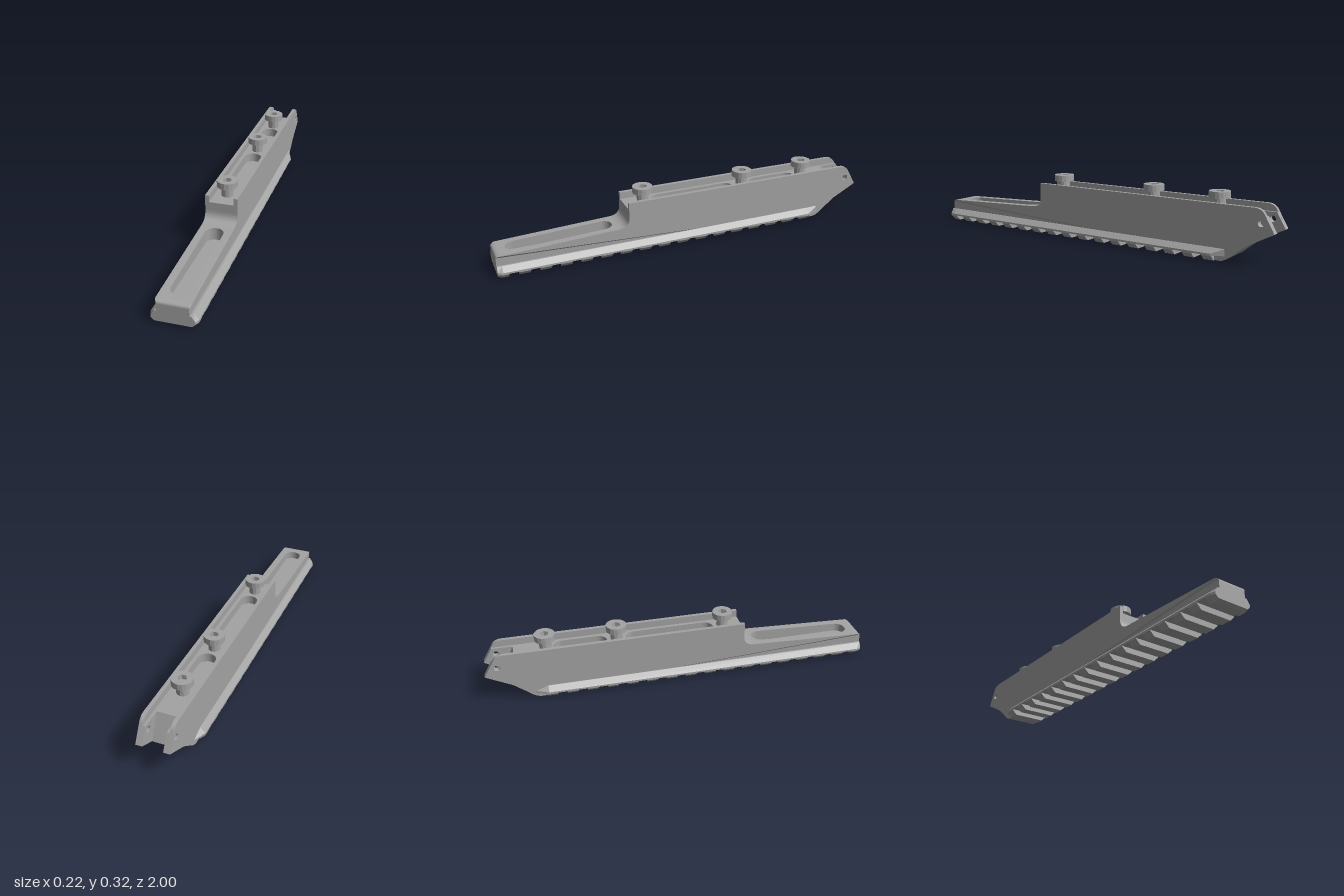
import * as THREE from 'three';

export function createModel() {
  const model = new THREE.Group();
  model.name = 'railMount';
  const metal = new THREE.MeshStandardMaterial({ color: 0xa3a3a3 });
  metal.name = 'grey metal';

  const add = (geo, name, parent = model) => {
    const mesh = new THREE.Mesh(geo, metal);
    mesh.name = name;
    parent.add(mesh);
    return mesh;
  };
  const extrude = (shape, depth, extra = {}) =>
    new THREE.ExtrudeGeometry(shape, { depth, bevelEnabled: false, curveSegments: 8, ...extra });

  // Side profile (z, y) extruded across x
  const slab = (shape, x0, x1) =>
    extrude(shape, x1 - x0).rotateY(-Math.PI / 2).translate(x1, 0, 0);
  // Plan shape (x, z) extruded downward from y = top
  const plate = (shape, top, height) =>
    extrude(shape, height).rotateX(Math.PI / 2).translate(0, top, 0);

  // Underside and front end shared by every body layer
  const startFront = () => {
    const s = new THREE.Shape();
    s.moveTo(-0.7, 0.03);
    s.lineTo(1, 0.03);
    s.lineTo(1, 0.098);
    s.quadraticCurveTo(1, 0.113, 0.975, 0.115);
    return s;
  };
  const stepUp = (s) => {
    s.lineTo(0.385, 0.14);
    s.bezierCurveTo(0.352, 0.142, 0.33, 0.158, 0.33, 0.192);
  };
  const ramp = (s) => {
    s.lineTo(-0.87, 0.092);
    s.lineTo(-0.8, 0.037);
    s.quadraticCurveTo(-0.765, 0.003, -0.735, 0.003);
    s.lineTo(-0.7, 0.003);
    s.closePath();
  };
  const pinHole = (s) => {
    const h = new THREE.Path();
    h.absarc(-0.935, 0.203, 0.016, 0, Math.PI * 2, true);
    s.holes.push(h);
  };

  // Outer walls
  const wall = startFront();
  stepUp(wall);
  wall.lineTo(0.33, 0.272);
  wall.lineTo(-0.9, 0.272);
  wall.quadraticCurveTo(-0.935, 0.272, -0.95, 0.247);
  wall.lineTo(-1, 0.16);
  ramp(wall);
  pinHole(wall);

  // Lower ledges inside the walls, ending as the fork's inner cheeks
  const ledge = startFront();
  stepUp(ledge);
  ledge.lineTo(0.33, 0.236);
  ledge.lineTo(-0.956, 0.236);
  ledge.lineTo(-1, 0.16);
  ramp(ledge);
  pinHole(ledge);

  for (const [side, label] of [[1, 'left'], [-1, 'right']]) {
    const span = (a, b) => (side > 0 ? [a, b] : [-b, -a]);
    const w = slab(wall, ...span(0.063, 0.082));
    const p = w.attributes.position;
    for (let i = 0; i < p.count; i++) {
      if (p.getZ(i) > 0.99 && Math.abs(p.getX(i)) > 0.07) p.setX(i, side * 0.075);
    }
    w.computeVertexNormals();
    add(w, label + 'Wall');
    add(slab(ledge, ...span(0.05, 0.063)), label + 'Ledge');
  }

  // Centre core, with recess floors and the sloped fork gap
  const core = startFront();
  core.lineTo(0.975, 0.075);
  core.lineTo(0.385, 0.075);
  stepUp(core);
  core.lineTo(0.33, 0.236);
  core.lineTo(0.29, 0.236);
  core.lineTo(0.29, 0.19);
  core.lineTo(-0.75, 0.19);
  core.lineTo(-0.75, 0.236);
  core.lineTo(-0.85, 0.236);
  core.lineTo(-0.91, 0.112);
  ramp(core);
  add(slab(core, -0.05, 0.05), 'core');

  // Decks with rounded pockets
  const deckShape = (z0, z1, slots) => {
    const s = new THREE.Shape();
    s.moveTo(-0.05, z0);
    s.lineTo(0.05, z0);
    s.lineTo(0.05, z1);
    s.lineTo(-0.05, z1);
    s.closePath();
    const r = 0.045;
    for (const [a, b] of slots) {
      const h = new THREE.Path();
      h.absarc(0, b - r, r, 0, Math.PI, false);
      h.absarc(0, a + r, r, Math.PI, Math.PI * 2, false);
      h.closePath();
      s.holes.push(h);
    }
    return s;
  };
  add(plate(deckShape(-0.75, 0.29, [[-0.65, -0.38], [-0.28, 0.18]]), 0.236, 0.046), 'channelDeck');

  const front = plate(deckShape(0.385, 0.975, [[0.4, 0.94]]), 0.14, 0.065);
  const fp = front.attributes.position;
  for (let i = 0; i < fp.count; i++) {
    if (fp.getY(i) > 0.1) fp.setY(i, 0.115 + ((0.975 - fp.getZ(i)) / 0.59) * 0.025);
  }
  front.computeVertexNormals();
  add(front, 'frontDeck');

  // Cross-section swept along z, its half width limited at each station
  const sweep = (points, stations) => {
    const steps = stations.length - 1;
    const geo = extrude(new THREE.Shape(points.map(([x, y]) => new THREE.Vector2(x, y))), 1, { steps });
    const p = geo.attributes.position;
    for (let i = 0; i < p.count; i++) {
      const [z, limit] = stations[Math.round(p.getZ(i) * steps)];
      p.setZ(i, z);
      p.setX(i, THREE.MathUtils.clamp(p.getX(i), -limit, limit));
    }
    geo.computeVertexNormals();
    return geo;
  };

  // Dovetail rail
  add(sweep(
    [[-0.11, 0.028], [0.11, 0.028], [0.11, 0.037], [0.084, 0.062], [-0.084, 0.062], [-0.11, 0.037]],
    [[-0.765, 0.081], [-0.7, 0.11], [0.975, 0.11], [1, 0.1]]
  ), 'rail');

  // Rail teeth
  const tooth = [[-0.085, 0], [0.085, 0], [0.11, 0.025], [0.11, 0.03], [-0.11, 0.03], [-0.11, 0.025]];
  for (let i = 0; i < 17; i++) {
    const z = 1 - i * 0.1035;
    const geo = sweep(tooth, [[z - 0.053, 0.11], [z - 0.02, 0.11], [z, i ? 0.11 : 0.1]]);
    if (i === 0) {
      const p = geo.attributes.position;
      for (let k = 0; k < p.count; k++) {
        if (p.getZ(k) > 0.99 && p.getY(k) < 0.005) p.setY(k, 0.01);
      }
      geo.computeVertexNormals();
    }
    add(geo, 'railTooth' + (i + 1));
  }

  // Socket-head screws
  const headShape = new THREE.Shape();
  headShape.absarc(0, 0, 0.052, 0, Math.PI * 2, false);
  const socket = new THREE.Path();
  for (let i = 0; i < 6; i++) {
    const a = -i * Math.PI / 3;
    socket[i ? 'lineTo' : 'moveTo'](0.023 * Math.cos(a), 0.023 * Math.sin(a));
  }
  socket.closePath();
  headShape.holes.push(socket);
  [0.23, -0.33, -0.69].forEach((z, i) => {
    const screw = new THREE.Group();
    screw.name = 'screw' + (i + 1);
    screw.position.z = z;
    add(plate(headShape, 0.318, 0.032), 'screwHead', screw);
    const shank = new THREE.CylinderGeometry(0.03, 0.03, 0.108, 12).toNonIndexed();
    shank.computeVertexNormals();
    add(shank, 'screwShank', screw).position.y = 0.24;
    model.add(screw);
  });

  return model;
}
